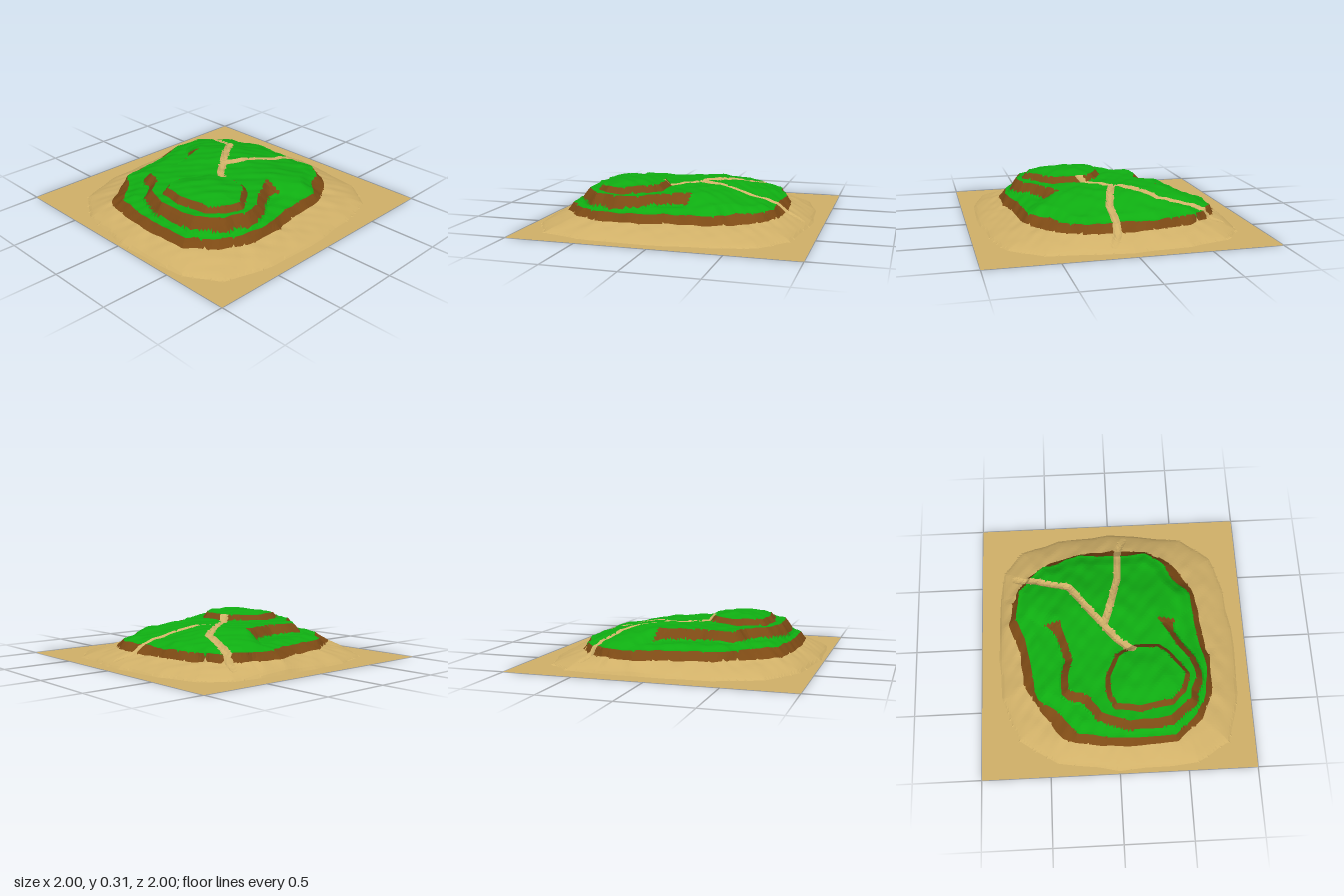
import * as THREE from 'three';

const CELLS = 120, CELL = 2 / CELLS;

// Contour lines of the island as x, z pairs
const beachFoot = contour([0, -0.92, 0.57, -0.85, 0.8, -0.68, 0.87, -0.4, 0.92, 0.08, 0.91, 0.45, 0.81, 0.8, 0.57, 0.95,
  0, 0.975, -0.45, 0.91, -0.72, 0.73, -0.85, 0.4, -0.87, 0.1, -0.86, -0.4, -0.83, -0.62, -0.68, -0.8, -0.4, -0.88]);
const cliffFoot = contour([-0.63, -0.54, -0.47, -0.65, -0.23, -0.72, 0.03, -0.74, 0.3, -0.71, 0.47, -0.62, 0.61, -0.4,
  0.66, -0.2, 0.68, 0.06, 0.72, 0.22, 0.7, 0.46, 0.62, 0.65, 0.43, 0.79, 0.06, 0.83, -0.13, 0.81, -0.4, 0.75,
  -0.56, 0.54, -0.69, 0.33, -0.7, 0.09, -0.79, -0.15, -0.75, -0.32, -0.72, -0.44], 0.014);
const grassEdge = contour([-0.56, -0.58, -0.4, -0.63, -0.22, -0.69, 0.03, -0.66, 0.27, -0.68, 0.42, -0.58, 0.47, -0.45,
  0.6, -0.32, 0.62, 0.03, 0.68, 0.25, 0.66, 0.46, 0.58, 0.62, 0.41, 0.76, 0.03, 0.77, -0.3, 0.72, -0.42, 0.57,
  -0.58, 0.46, -0.62, 0.25, -0.66, -0.02, -0.73, -0.18, -0.71, -0.4], 0.01);
const terraceEdge = contour([-0.4, -0.15, -0.37, -0.02, -0.31, 0.2, -0.35, 0.32, -0.34, 0.42, -0.2, 0.47, -0.12, 0.59,
  0.08, 0.67, 0.38, 0.65, 0.53, 0.52, 0.58, 0.35, 0.54, 0.22, 0.42, 0.04, 0.3, -0.15, 0, -0.22, -0.25, -0.25], 0.012);
const summitEdge = contour([0.14, 0.14, 0.32, 0.14, 0.39, 0.2, 0.5, 0.35, 0.47, 0.46, 0.38, 0.54, 0.16, 0.57, 0, 0.55,
  -0.04, 0.46, -0.04, 0.35, 0.03, 0.2], 0.006);

// Dry river beds
const rivers = [
  [0.13, 0.14, 0.02, 0.05, -0.07, -0.06],
  [-0.07, -0.06, -0.02, -0.2, 0.05, -0.45, 0.06, -0.65, 0.07, -0.75, 0.12, -0.85],
  [-0.07, -0.06, -0.2, -0.22, -0.32, -0.39, -0.45, -0.43, -0.62, -0.49, -0.74, -0.54],
].map(toPoints);
const RIVER = 0.028, SUMMIT_CLIFF = 0.036;

function toPoints(flat) {
  const points = [];
  for (let i = 0; i < flat.length; i += 2) points.push([flat[i], flat[i + 1]]);
  return points;
}

function noise(x, z) {
  return (Math.sin(x * 23 + 2 * Math.sin(z * 17)) + Math.sin(z * 29 + 2 * Math.sin(x * 19 + 1)) +
    0.7 * Math.sin(x * 53 + z * 41)) / 2.7;
}

// Closed outline, subdivided and roughened a little
function contour(flat, rough = 0.008) {
  const corners = toPoints(flat), out = [];
  corners.forEach(([x, z], i) => {
    const [x2, z2] = corners[(i + 1) % corners.length];
    for (let k = 0; k < 3; k++) {
      const px = x + (x2 - x) * k / 3, pz = z + (z2 - z) * k / 3;
      out.push([px + rough * noise(px * 3, pz * 3), pz + rough * noise(pz * 3 + 4, px * 3)]);
    }
  });
  return out;
}

// Distance to a line (positive inside a closed one) and the direction in which it grows
function distance(line, x, z, closed = true) {
  let best = Infinity, bx = 0, bz = 0, inside = false;
  for (let i = 0; i < line.length - (closed ? 0 : 1); i++) {
    const [ax, az] = line[i], [cx, cz] = line[(i + 1) % line.length];
    const ex = cx - ax, ez = cz - az;
    const t = Math.min(1, Math.max(0, ((x - ax) * ex + (z - az) * ez) / (ex * ex + ez * ez)));
    const dx = x - ax - t * ex, dz = z - az - t * ez, d = Math.hypot(dx, dz);
    if (d < best) { best = d; bx = dx; bz = dz; }
    if ((az > z) !== (cz > z) && x < ax + ex * (z - az) / ez) inside = !inside;
  }
  const sign = closed && !inside ? -1 : 1, n = sign / (best || 1);
  return { d: sign * best, nx: bx * n, nz: bz * n };
}

function riverDistance(x, z) {
  return rivers.map(r => distance(r, x, z, false)).reduce((a, b) => (a.d < b.d ? a : b));
}

const smooth = THREE.MathUtils.smoothstep;
const terraceSlope = z => 0.065 + 0.36 * smooth(-z, 0, 0.35);

function height(x, z) {
  const beach = distance(beachFoot, x, z).d;
  if (beach <= 0.0001) return 0;
  const grass = distance(grassEdge, x, z).d;
  const cliff = Math.max(distance(cliffFoot, x, z).d, grass + 0.008);
  const dip = 0.014 * (1 - smooth(riverDistance(x, z).d, RIVER * 0.4, RIVER));
  if (cliff < 0) {
    const t = beach / (beach - cliff);
    return Math.max(0, 0.085 * Math.pow(t, 0.75) + 0.006 * t * noise(x, z) - dip * t);
  }
  if (grass < 0) return 0.085 + 0.055 * cliff / (cliff - grass) + 0.006 * noise(x, z) - dip;
  // Lowland, terrace and summit stacked on one another
  const terrace = distance(terraceEdge, x, z).d, summit = distance(summitEdge, x, z).d;
  const slope = terraceSlope(z);
  let y = 0.14 + 0.026 * smooth(grass, 0, 0.1);
  const rise = Math.min(1, Math.max(0, (terrace + slope) / slope));
  y += 0.074 * (slope > 0.1 ? smooth(rise, 0, 1) : rise);
  y += 0.014 * Math.exp(-((x + 0.2) ** 2 + (z + 0.12) ** 2) / 0.03);
  y += 0.042 * Math.min(1, Math.max(0, (summit + SUMMIT_CLIFF) / SUMMIT_CLIFF));
  y += 0.02 * smooth(summit, 0, 0.14);
  return y + 0.006 * noise(x, z) - dip;
}

// Pull grid points onto nearby contours so that the edges stay crisp
function snap(x, z) {
  const edges = [beachFoot, cliffFoot, grassEdge, terraceEdge, summitEdge].map(line => distance(line, x, z));
  const foot = { ...edges[4], d: edges[4].d + SUMMIT_CLIFF };
  const river = riverDistance(x, z);
  edges.push(foot, { ...river, d: river.d - RIVER });
  const near = edges.reduce((a, b) => (Math.abs(a.d) < Math.abs(b.d) ? a : b));
  return Math.abs(near.d) < CELL * 0.5 ? [x - near.nx * near.d, z - near.nz * near.d] : [x, z];
}

function surfaceAt(x, z) {
  const grass = distance(grassEdge, x, z).d;
  if (riverDistance(x, z).d < RIVER) return 'riverBed';
  if (grass < 0) return distance(cliffFoot, x, z).d > 0 ? 'cliffs' : 'sand';
  const summit = distance(summitEdge, x, z).d;
  if (summit < 0 && summit > -SUMMIT_CLIFF) return 'cliffs';
  const terrace = distance(terraceEdge, x, z).d, slope = terraceSlope(z);
  return terrace < 0 && terrace > -slope * 0.85 && slope < 0.15 ? 'cliffs' : 'grass';
}

export function createModel() {
  const group = new THREE.Group();
  group.name = 'island';
  const colors = { sand: 0xd0b068, riverBed: 0xd0b068, cliffs: 0x7d4a14, grass: 0x0fae12 };
  const parts = { sand: [], riverBed: [], cliffs: [], grass: [] };

  // Terrain grid
  const points = [];
  for (let j = 0; j <= CELLS; j++) {
    for (let i = 0; i <= CELLS; i++) {
      const [x, z] = snap(-1 + i * CELL, -1 + j * CELL);
      points.push([x, height(x, z), z]);
    }
  }

  // Sort each triangle into the surface it belongs to
  const addTriangle = (a, b, c) => {
    const surface = surfaceAt((a[0] + b[0] + c[0]) / 3, (a[2] + b[2] + c[2]) / 3);
    parts[surface].push(...a, ...b, ...c);
  };
  for (let j = 0; j < CELLS; j++) {
    for (let i = 0; i < CELLS; i++) {
      const k = j * (CELLS + 1) + i;
      const a = points[k], b = points[k + 1], c = points[k + CELLS + 1], d = points[k + CELLS + 2];
      if ((i + j) % 2) { addTriangle(a, c, b); addTriangle(b, c, d); }
      else { addTriangle(a, c, d); addTriangle(a, d, b); }
    }
  }

  // One mesh per surface
  for (const [name, positions] of Object.entries(parts)) {
    const geometry = new THREE.BufferGeometry();
    geometry.setAttribute('position', new THREE.Float32BufferAttribute(positions, 3));
    geometry.computeVertexNormals();
    const material = new THREE.MeshStandardMaterial({ color: colors[name], flatShading: true, side: THREE.DoubleSide });
    const mesh = new THREE.Mesh(geometry, material);
    mesh.name = name;
    group.add(mesh);
  }
  return group;
}
